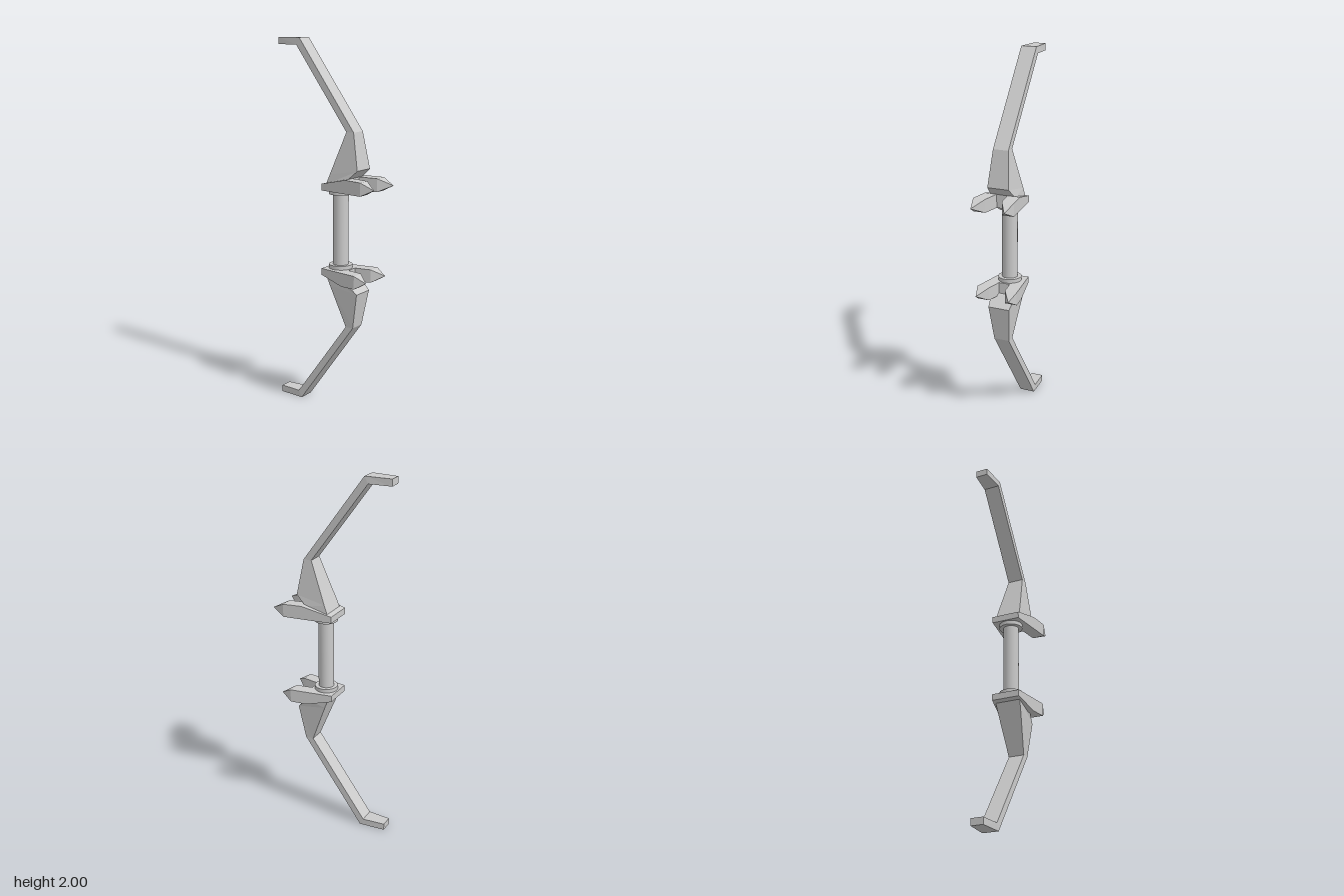
import * as THREE from 'three';

const flat = new THREE.MeshStandardMaterial({ color: 0xcccccc, flatShading: true });
const smooth = new THREE.MeshStandardMaterial({ color: 0xcccccc });

// Skin a list of four-cornered rings, cap both ends and face the surface outward
function loft(rings) {
  const tris = [];
  const quad = (a, b, c, d) => tris.push([a, b, c], [a, c, d]);
  for (let i = 0; i < rings.length - 1; i++) {
    for (let j = 0; j < 4; j++) {
      const k = (j + 1) % 4;
      quad(rings[i][j], rings[i][k], rings[i + 1][k], rings[i + 1][j]);
    }
  }
  quad(...[...rings[0]].reverse());
  quad(...rings[rings.length - 1]);

  const o = rings[0][0];
  const volume = tris.reduce((sum, [a, b, c]) => {
    const [p, q, r] = [a, b, c].map(v => v.clone().sub(o));
    return sum + p.dot(q.cross(r));
  }, 0);
  const solid = tris.filter(([a, b, c]) =>
    b.clone().sub(a).cross(c.clone().sub(a)).lengthSq() > 1e-14);
  const points = solid.flatMap(t => (volume < 0 ? [t[0], t[2], t[1]] : t));
  const geometry = new THREE.BufferGeometry().setFromPoints(points);
  geometry.computeVertexNormals();
  return geometry;
}

function add(parent, name, geometry, material = flat) {
  const mesh = new THREE.Mesh(geometry, material);
  mesh.name = name;
  parent.add(mesh);
  return mesh;
}

export function createModel() {
  const bow = new THREE.Group();
  bow.name = 'bow';
  const gripZ = 0.057;

  // Grip
  add(bow, 'grip', new THREE.CylinderGeometry(0.042, 0.042, 0.42, 24), smooth)
    .position.set(0, 1, gripZ);

  for (const s of [1, -1]) {
    const half = new THREE.Group();
    half.name = s > 0 ? 'upperHalf' : 'lowerHalf';
    bow.add(half);
    const mirror = y => 1 + s * (y - 1);

    // Collar between grip and guard
    add(half, 'collar', new THREE.CylinderGeometry(0.063, 0.063, 0.026, 24), smooth)
      .position.set(0, mirror(1.204), gripZ);

    // Limb: front [z, y, half width] and back [z, y, half width] of each section
    const sections = [
      [[0.14, 1.275, 0.07], [0.01, 1.245, 0.07]],
      [[0.2, 1.33, 0.06], [0.032, 1.3, 0.066]],
      [[0.165, 1.525, 0.043], [0.12, 1.525, 0.043]],
      [[-0.18, 2, 0.043], [-0.2, 1.963, 0.043]],
      [[-0.325, 2, 0.033], [-0.325, 1.963, 0.033]],
    ];
    add(half, 'limb', loft(sections.map(([f, b]) => [
      [-f[2], f], [f[2], f], [b[2], b], [-b[2], b],
    ].map(([x, [z, y]]) => new THREE.Vector3(x, mirror(y), z)))));

    // Guard: plate and two pointed prongs, shorter on the lower half
    const reach = s > 0 ? 1 : 0.87;
    const ring = ([z, x0, x1, y0, y1]) => [[x0, y0], [x1, y0], [x1, y1], [x0, y1]]
      .map(([x, y]) => new THREE.Vector3(x, mirror(y), -0.015 + (z + 0.015) * reach));
    add(half, 'guardPlate', loft([
      [-0.015, -0.077, 0.077, 1.212, 1.247],
      [0.15, -0.1, 0.1, 1.212, 1.285],
    ].map(ring)));
    for (const side of [1, -1]) {
      add(half, side > 0 ? 'leftProng' : 'rightProng', loft([
        [0.15, 0.031, 0.1, 1.212, 1.285],
        [0.253, 0.047, 0.114, 1.212, 1.283],
        [0.325, 0.094, 0.094, 1.247, 1.247],
      ].map(([z, x0, x1, y0, y1]) => ring([z, side * x0, side * x1, y0, y1]))));
    }
  }
  return bow;
}
